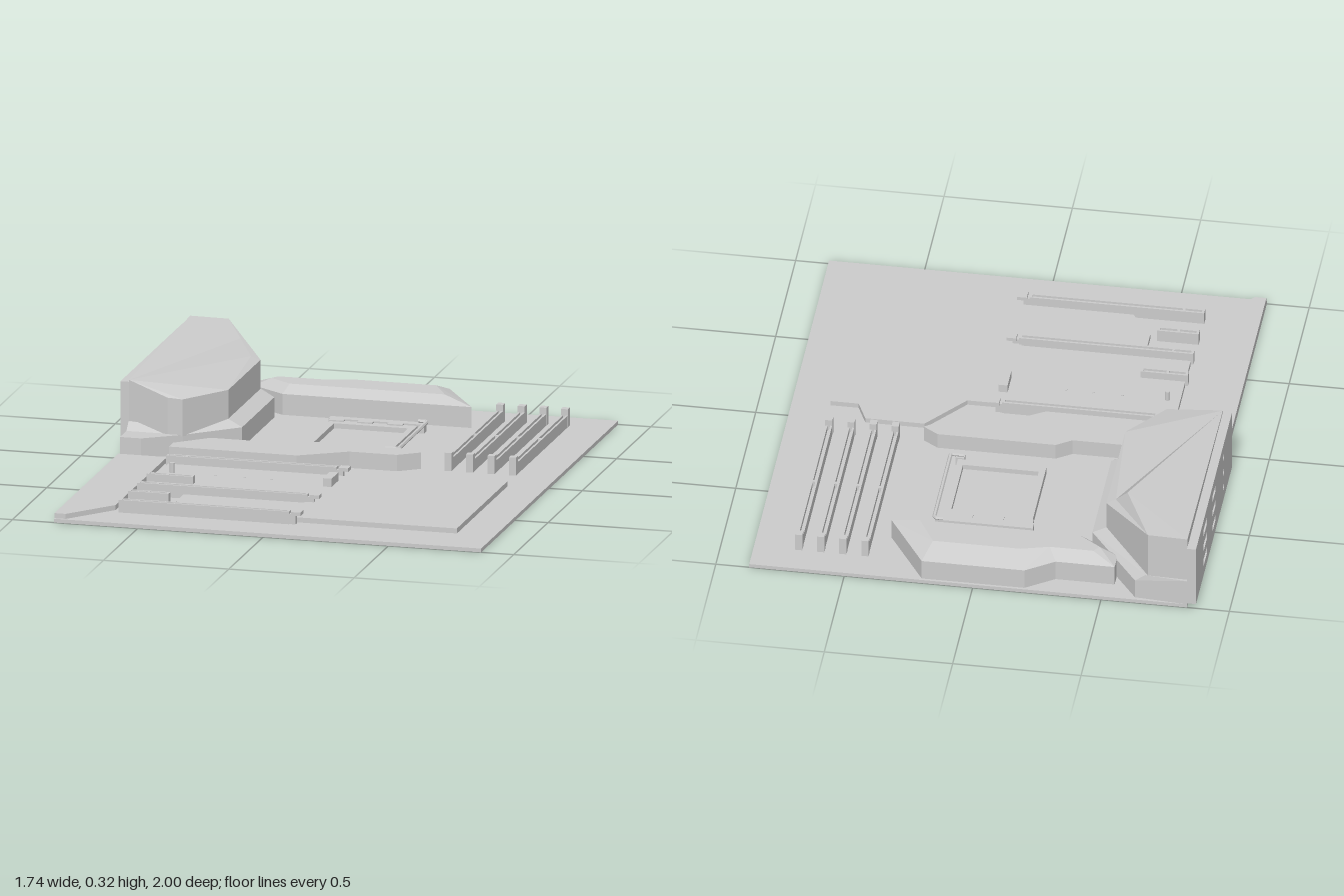
import * as THREE from 'three';

const mat = new THREE.MeshStandardMaterial({ color: 0xcccccc, flatShading: true });
const BOARD = 0.015, COVER = 0.035;

function add(parent, name, geometry) {
  const mesh = new THREE.Mesh(geometry, mat);
  mesh.name = name;
  parent.add(mesh);
  return mesh;
}

// Box given by its limits on each axis
function box(parent, name, x0, x1, y0, y1, z0, z1) {
  const g = new THREE.BoxGeometry(x1 - x0, y1 - y0, z1 - z0);
  g.translate((x0 + x1) / 2, (y0 + y1) / 2, (z0 + z1) / 2);
  return add(parent, name, g);
}

function fromTriangles(tris) {
  const g = new THREE.BufferGeometry();
  g.setAttribute('position', new THREE.Float32BufferAttribute(tris.flat(2), 3));
  g.computeVertexNormals();
  return g;
}

// Orders a triangle so that it faces up (or down)
function facing(a, b, c, up = true) {
  const ny = (b[2] - a[2]) * (c[0] - a[0]) - (b[0] - a[0]) * (c[2] - a[2]);
  return (ny > 0) === up ? [a, b, c] : [a, c, b];
}

// Stacked outlines of [x, y, z] points, bottom first; counter-clockwise seen from above
function loft(rings, capTop = true) {
  const tris = [];
  const flat = (r) => r.map((p) => new THREE.Vector2(p[0], -p[2]));
  if (THREE.ShapeUtils.area(flat(rings[0])) < 0) rings = rings.map((r) => [...r].reverse());
  const n = rings[0].length;
  for (let k = 0; k + 1 < rings.length; k++) {
    const lo = rings[k], hi = rings[k + 1];
    for (let i = 0; i < n; i++) {
      const j = (i + 1) % n;
      tris.push([lo[i], lo[j], hi[j]], [lo[i], hi[j], hi[i]]);
    }
  }
  const cap = (r, up) => THREE.ShapeUtils.triangulateShape(flat(r), [])
    .forEach(([a, b, c]) => tris.push(facing(r[a], r[b], r[c], up)));
  cap(rings[0], false);
  if (capTop) cap(rings[rings.length - 1], true);
  return tris;
}

const ring = (plan, y) => plan.map(([x, z]) => [x, y, z]);
const slab = (parent, name, plan, y0, y1) =>
  add(parent, name, fromTriangles(loft([ring(plan, y0), ring(plan, y1)])));

function rectPath(path, x0, x1, y0, y1) {
  path.moveTo(x0, y0).lineTo(x1, y0).lineTo(x1, y1).lineTo(x0, y1).closePath();
  return path;
}

// Rectangular frame lying flat
function frame(parent, name, outer, inner, y0, y1) {
  const shape = rectPath(new THREE.Shape(), ...outer);
  shape.holes.push(rectPath(new THREE.Path(), ...inner));
  const g = new THREE.ExtrudeGeometry(shape, { depth: y1 - y0, bevelEnabled: false });
  g.rotateX(-Math.PI / 2).translate(0, y0, 0);
  return add(parent, name, g);
}

function buildPortTower(parent) {
  const tower = new THREE.Group();
  tower.name = 'portTower';
  parent.add(tower);

  // Wide foot with a chamfer up to the tower wall
  const foot = [[-0.835, -1], [-0.63, -0.985], [-0.42, -0.7], [-0.42, -0.23], [-0.61, -0.06], [-0.75, 0.035], [-0.835, 0.035]];
  const step = [[-0.835, -1], [-0.67, -0.985], [-0.475, -0.7], [-0.475, -0.23], [-0.62, -0.09], [-0.75, 0.035], [-0.835, 0.035]];
  add(tower, 'towerFoot', fromTriangles(loft([ring(foot, BOARD), ring(foot, 0.095)])));
  const lip = foot.slice(0, 5).concat([[-0.835, -0.06]]);
  const lipTop = step.slice(0, 5).concat([[-0.835, -0.09]]);
  add(tower, 'footChamfer', fromTriangles(loft([ring(lip, 0.095), ring(lipTop, 0.125)])));

  // Tower walls and folded roof
  const A = [-0.835, 0.317, -0.99], B = [-0.68, 0.317, -0.985], R = [-0.475, 0.24, -0.7],
    S = [-0.475, 0.24, -0.23], T = [-0.61, 0.237, -0.055], U = [-0.67, 0.24, -0.055],
    D = [-0.835, 0.288, -0.1], C = [-0.56, 0.315, -0.72], E = [-0.51, 0.255, -0.69];
  const rim = [A, B, R, S, T, U, D];
  const walls = loft([rim.map(([x, , z]) => [x, 0.09, z]), rim], false);
  const roof = [[A, D, C], [A, C, B], [B, C, E], [B, E, R], [E, S, R], [C, D, E], [D, S, E], [D, U, T], [D, T, S]];
  add(tower, 'towerShell', fromTriangles(walls.concat(roof.map((t) => facing(...t)))));

  // Port panel with three columns of openings
  const panel = rectPath(new THREE.Shape(), 0.1, 1, 0.02, 0.28);
  for (const [z, w, h] of [[0.77, 0.045, 0.016], [0.55, 0.04, 0.014], [0.31, 0.012, 0.01]]) {
    for (const y of [0.08, 0.15, 0.22]) {
      panel.holes.push(rectPath(new THREE.Path(), z - w, z + w, y - h, y + h));
    }
  }
  const g = new THREE.ExtrudeGeometry(panel, { depth: 0.035, bevelEnabled: false });
  g.rotateY(Math.PI / 2).translate(-0.87, 0, 0);
  add(tower, 'portPanel', g);
}

function buildSocket(parent) {
  const socket = new THREE.Group();
  socket.name = 'processorSocket';
  parent.add(socket);
  box(socket, 'socketFloor', -0.145, 0.15, BOARD, 0.025, -0.565, -0.275);
  frame(socket, 'socketFrame', [-0.17, 0.175, 0.24, 0.61], [-0.145, 0.15, 0.275, 0.565], BOARD, 0.045);
  box(socket, 'hingeBar', -0.18, 0.2, BOARD, 0.05, -0.65, -0.615);
  for (const x of [-0.145, -0.03, 0.09]) box(socket, 'hingeTab', x - 0.03, x + 0.03, BOARD, 0.05, -0.615, -0.592);
  // Bent locking lever
  const path = new THREE.CurvePath();
  const pts = [[0.17, -0.645], [0.205, -0.645], [0.205, -0.225], [0.155, -0.225]].map(([x, z]) => new THREE.Vector3(x, 0.055, z));
  for (let i = 0; i < 3; i++) path.add(new THREE.LineCurve3(pts[i], pts[i + 1]));
  add(socket, 'lockingLever', new THREE.TubeGeometry(path, 36, 0.008, 6));
  box(socket, 'leverCatch', 0.15, 0.185, BOARD, 0.05, -0.24, -0.21);
}

function buildMemorySlot(parent, x) {
  const slot = new THREE.Group();
  slot.name = 'memorySlot';
  parent.add(slot);
  box(slot, 'slotBase', x - 0.013, x + 0.013, BOARD, 0.04, -0.86, -0.12);
  for (const s of [-1, 1]) box(slot, 'slotRail', x + s * 0.009 - 0.004, x + s * 0.009 + 0.004, 0.04, 0.062, -0.86, -0.12);
  box(slot, 'slotKey', x - 0.006, x + 0.006, 0.04, 0.062, -0.495, -0.485);
  for (const z of [-0.865, -0.11]) box(slot, 'endLatch', x - 0.014, x + 0.014, BOARD, 0.087, z - 0.015, z + 0.015);
}

function buildExpansionSlot(parent, z, x1, withLatch) {
  const slot = new THREE.Group();
  slot.name = 'expansionSlot';
  parent.add(slot);
  box(slot, 'slotBase', -0.62, x1, BOARD, 0.05, z - 0.014, z + 0.014);
  for (const s of [-1, 1]) box(slot, 'slotRail', -0.62, x1, 0.05, 0.065, z + s * 0.01 - 0.004, z + s * 0.01 + 0.004);
  for (const x of [-0.615, -0.54, x1 - 0.005]) box(slot, 'slotKey', x - 0.005, x + 0.005, 0.05, 0.065, z - 0.007, z + 0.007);
  if (withLatch) {
    box(slot, 'latchStem', x1, 0.085, BOARD, 0.055, z - 0.01, z + 0.01);
    box(slot, 'latchHead', 0.07, 0.108, 0.052, 0.066, z - 0.02, z + 0.02);
  }
}

export function createModel() {
  const model = new THREE.Group();
  model.name = 'circuitBoard';
  box(model, 'board', -0.835, 0.87, 0, BOARD, -1, 1);

  // Flat covers
  slab(model, 'mainCover', [[-0.61, 0.155], [0.2, 0.155], [0.34, -0.02], [0.57, -0.02], [0.61, 0.07], [0.72, 0.07],
    [0.72, 0.805], [-0.345, 0.805], [-0.43, 0.695], [-0.43, 0.585], [0.05, 0.585], [0.05, 0.54], [-0.61, 0.54]], BOARD, COVER);
  slab(model, 'sideCover', [[-0.835, 0.06], [-0.64, 0.06], [-0.64, 0.81], [-0.79, 0.99], [-0.835, 0.99]], BOARD, COVER);

  // Middle heatsink
  slab(model, 'middleHeatsink', [[-0.63, 0.07], [-0.12, 0.07], [0.06, -0.04], [0.25, -0.04], [0.33, -0.1], [0.27, -0.14],
    [-0.19, -0.14], [-0.25, -0.1], [-0.51, -0.1], [-0.63, 0.01]], BOARD, 0.08);

  // Rear heatsink with a sloped crown
  const base = [[-0.2, -0.99], [0.2, -0.99], [0.355, -0.745], [-0.4, -0.745], [-0.54, -0.84], [-0.54, -0.915], [-0.31, -0.915]];
  const crown = [[-0.17, -0.9], [0.17, -0.9], [0.24, -0.775], [-0.38, -0.775], [-0.47, -0.84], [-0.45, -0.87], [-0.28, -0.87]];
  add(model, 'rearHeatsink', fromTriangles(loft([ring(base, BOARD), ring(base, 0.098), ring(crown, 0.133)])));

  buildPortTower(model);
  buildSocket(model);
  for (let i = 0; i < 4; i++) buildMemorySlot(model, 0.438 + i * 0.086);
  for (const z of [0.135, 0.56, 0.828]) buildExpansionSlot(model, z, 0.06, true);
  buildExpansionSlot(model, 0.418, -0.435, false);
  buildExpansionSlot(model, 0.69, -0.458, false);

  // Drive connector, standoff and screw heads
  box(model, 'driveConnector', 0.055, 0.09, BOARD, 0.068, 0.23, 0.33);
  for (const [x, r, top] of [[-0.56, 0.01, 0.06], [-0.385, 0.005, 0.022], [-0.27, 0.005, 0.022], [-0.165, 0.005, 0.022]]) {
    const g = new THREE.CylinderGeometry(r, r, top, 10);
    add(model, 'standoff', g).position.set(x, BOARD + top / 2, 0.28);
  }
  return model;
}
